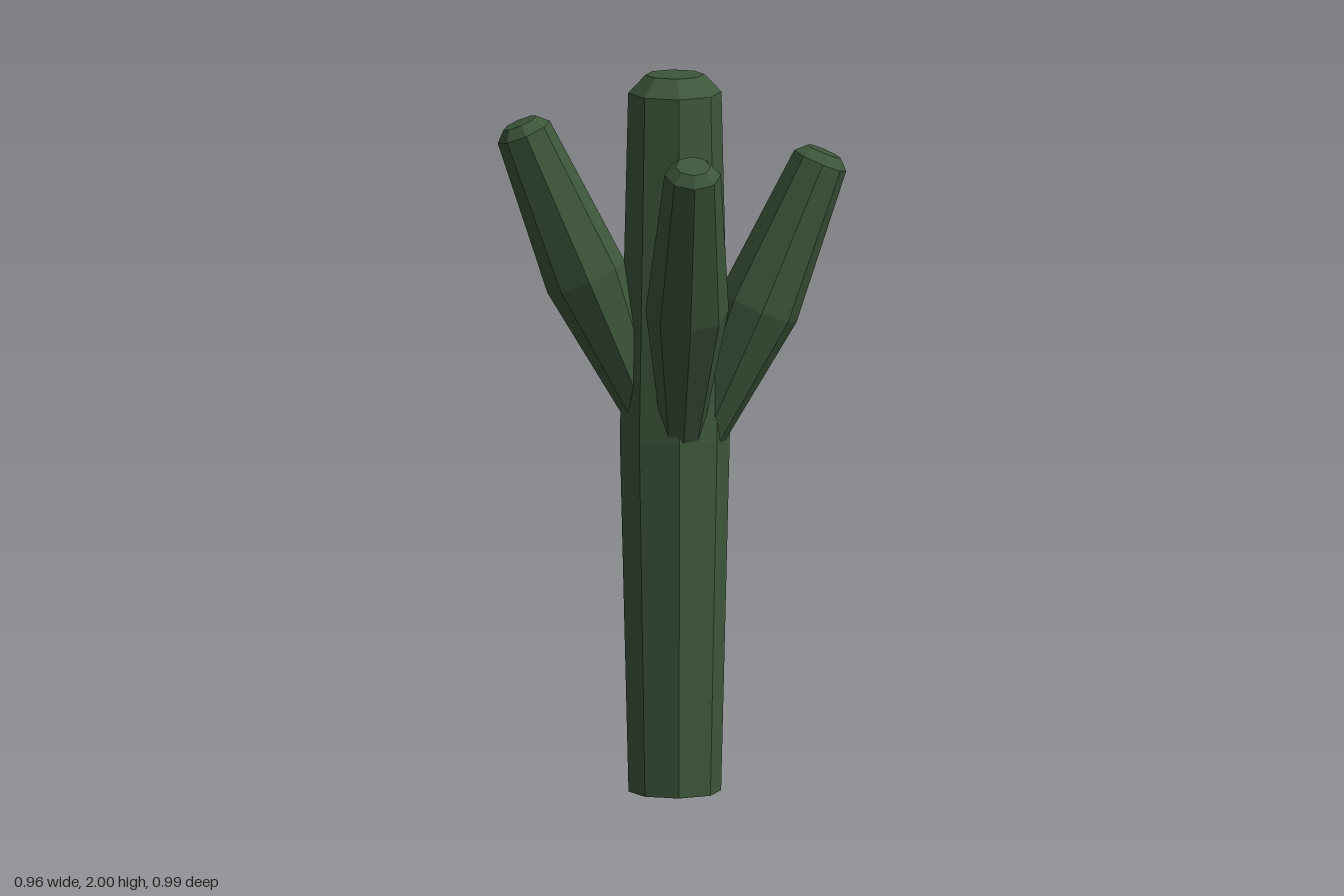
import * as THREE from 'three';

const green = new THREE.MeshStandardMaterial({ color: 0x3d573b, flatShading: true });
green.name = 'cactus green';

// Eight-sided stem turned from [radius, height] pairs
function stem(name, profile) {
  const points = profile.map(([r, y]) => new THREE.Vector2(r, y));
  const mesh = new THREE.Mesh(new THREE.LatheGeometry(points, 8), green);
  mesh.name = name;
  return mesh;
}

export function createModel() {
  const model = new THREE.Group();
  model.name = 'cactus';

  // Trunk, widest halfway up, with a bevelled top
  const trunk = stem('trunk', [[0, 0], [0.128, 0], [0.152, 0.99], [0.129, 1.95], [0.081, 2], [0, 2]]);
  trunk.position.x = 0.008;
  model.add(trunk);

  // Arms, each placed by its widest point and leaning outwards
  const arms = [
    ['leftArm', 0.235, 1.355, 0.04, Math.PI / 2],
    ['rightArm', -0.238, 1.44, 0, -Math.PI / 2],
    ['frontArm', 0.02, 1.385, 0.25, 0],
    ['backArm', 0.02, 1.385, -0.25, Math.PI],
  ];
  for (const [name, x, y, z, yaw] of arms) {
    const arm = stem(name, [[0, -0.44], [0.052, -0.44], [0.115, 0], [0.078, 0.44], [0.049, 0.468], [0, 0.47]]);
    arm.position.set(x, y, z);
    arm.rotation.set(0.4, yaw, 0, 'YXZ');
    model.add(arm);
  }
  return model;
}
